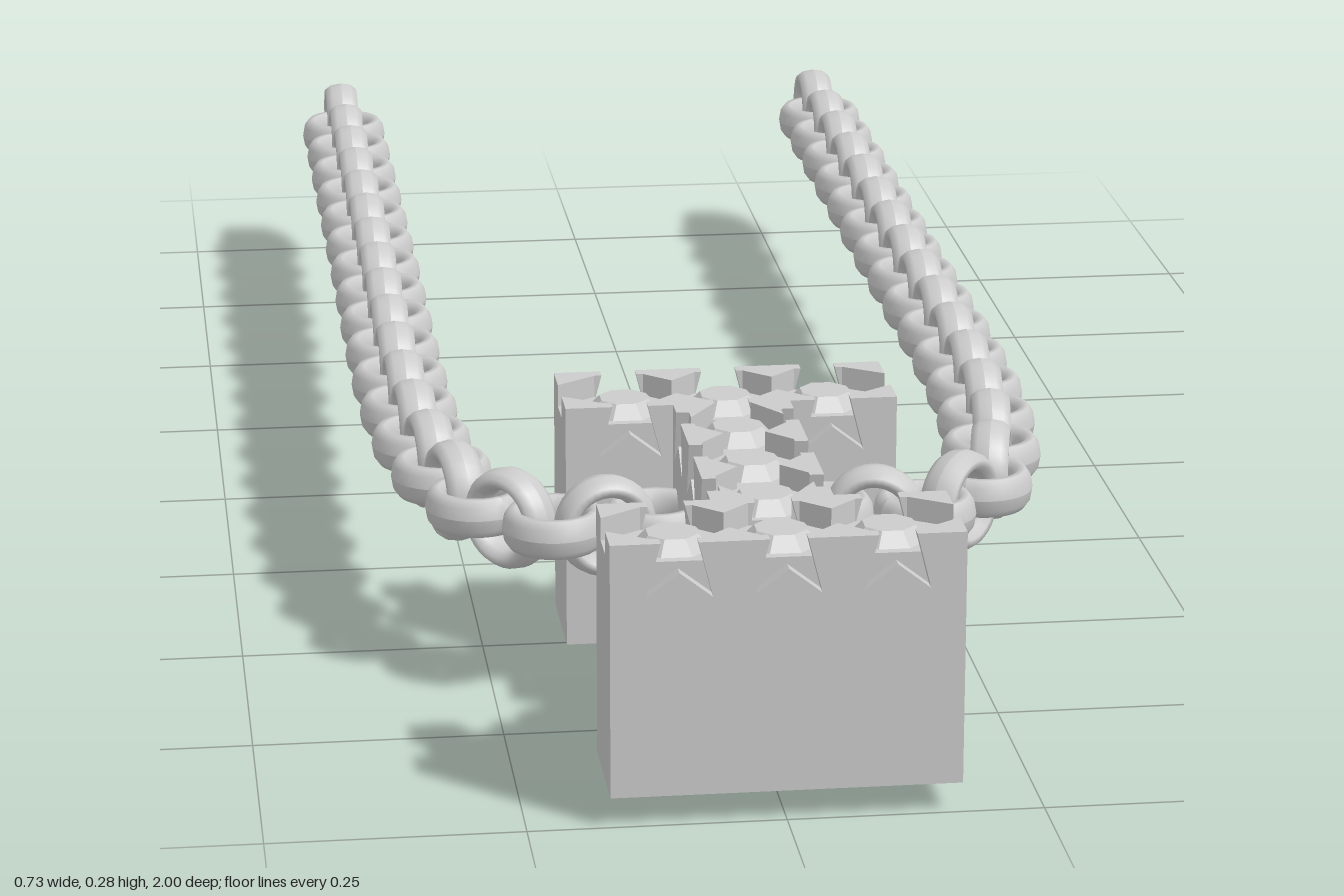
import * as THREE from 'three';

const mat = new THREE.MeshStandardMaterial({ color: 0xcccccc });
const flat = new THREE.MeshStandardMaterial({ color: 0xcccccc, flatShading: true });

const PITCH = 0.104;               // spacing of the studs and notches
const BASE = 0.03, DECK = 0.21, FLOOR = 0.262, TOP = 0.285;
const BAR = 0.17, WEB = 0.06;      // half widths of bars and web
const Z = { back: 0.465, backIn: 0.585, frontIn: 0.88, front: 1.0 };
const SKIN = 0.014;                // thickness of the notched walls

function add(parent, name, geometry, x = 0, y = 0, z = 0, material = flat) {
  const mesh = new THREE.Mesh(geometry, material);
  mesh.name = name;
  mesh.position.set(x, y, z);
  parent.add(mesh);
  return mesh;
}

const shapeOf = (pts) => new THREE.Shape(pts.map(([x, y]) => new THREE.Vector2(x, y)));

// extrude a plan drawn in x and -z upwards
function upright(shape, height) {
  return new THREE.ExtrudeGeometry(shape, { depth: height, bevelEnabled: false }).rotateX(-Math.PI / 2);
}

// plan of the I-shaped body, shrunk by an inset
function bodyPlan(i) {
  const half = [
    [BAR - i, Z.back + i], [BAR - i, Z.backIn - i], [WEB - i, Z.backIn - i],
    [WEB - i, Z.frontIn + i], [BAR - i, Z.frontIn + i], [BAR - i, Z.front - i],
  ];
  const other = half.map(([x, z]) => [-x, z]).reverse();
  return shapeOf([...half, ...other].map(([x, z]) => [x, -z]));
}

// battlement: outer face at local z = 0, facing +z, with three dovetail notches
function battlement(length) {
  const group = new THREE.Group();
  group.name = 'battlement';
  const h = length / 2;
  const pts = [[-h, DECK], [-h, TOP]];
  for (let i = -1; i <= 1; i++) {
    const c = i * PITCH;
    pts.push([c - 0.018, TOP], [c - 0.032, 0.23], [c, 0.255], [c + 0.032, 0.23], [c + 0.018, TOP]);
  }
  pts.push([h, TOP], [h, DECK]);
  const wall = new THREE.ExtrudeGeometry(shapeOf(pts), { depth: SKIN, bevelEnabled: false });
  add(group, 'notchedWall', wall, 0, 0, -SKIN);

  // wedge-shaped backs of the merlons
  for (const s of [-1, 1]) {
    const inner = shapeOf([[-0.028, 0], [0.028, 0], [0, 0.026]]);
    add(group, 'merlon', upright(inner, TOP - FLOOR + 0.01), s * PITCH / 2, FLOOR - 0.01, -SKIN + 0.001);
    const corner = shapeOf([[s * h, 0], [s * (h - 0.042), 0], [s * h, 0.028]]);
    add(group, 'cornerMerlon', upright(corner, TOP - FLOOR + 0.01), 0, FLOOR - 0.01, -SKIN + 0.001);
  }
  return group;
}

function place(parent, length, x, z, turn) {
  const wall = battlement(length);
  wall.position.set(x, 0, z);
  wall.rotation.y = turn;
  parent.add(wall);
}

function createCastle() {
  const castle = new THREE.Group();
  castle.name = 'castleBlock';

  // body with a shallow recess underneath
  const rim = bodyPlan(0);
  rim.holes.push(bodyPlan(0.02));
  add(castle, 'bottomRim', upright(rim, 0.02), 0, BASE, 0);
  add(castle, 'body', upright(bodyPlan(0), DECK - BASE - 0.02), 0, BASE + 0.02, 0);

  // front and back bars
  for (const [z0, z1] of [[Z.back, Z.backIn], [Z.frontIn, Z.front]]) {
    const zc = (z0 + z1) / 2;
    place(castle, 2 * BAR, 0, z1, 0);
    place(castle, 2 * BAR, 0, z0, Math.PI);
    add(castle, 'barDeck', new THREE.BoxGeometry(2 * BAR, FLOOR - DECK, z1 - z0 - 2 * SKIN), 0, (FLOOR + DECK) / 2, zc);
    for (let i = -1; i <= 1; i++) addStud(castle, i * PITCH, zc);
  }

  // connecting web
  const length = Z.frontIn - Z.backIn, zc = (Z.frontIn + Z.backIn) / 2;
  place(castle, length, WEB, zc, Math.PI / 2);
  place(castle, length, -WEB, zc, -Math.PI / 2);
  add(castle, 'webDeck', new THREE.BoxGeometry(2 * (WEB - SKIN), FLOOR - DECK, length), 0, (FLOOR + DECK) / 2, zc);
  for (let i = -1; i <= 1; i++) addStud(castle, 0, zc + i * PITCH);

  // hollow peg below the back bar
  const profile = [[0.036, 0.05], [0.036, 0.006], [0.042, 0], [0.062, 0], [0.068, 0.005], [0.073, 0.032], [0.073, 0.05]]
    .map(([x, y]) => new THREE.Vector2(x, y));
  const pegMat = mat.clone();
  pegMat.side = THREE.DoubleSide;
  add(castle, 'peg', new THREE.LatheGeometry(profile, 40), 0, 0, 0.545, pegMat);
  return castle;
}

// eight-sided stud with sloping sides
function addStud(parent, x, z) {
  const geo = new THREE.CylinderGeometry(0.026, 0.047, 0.022, 8).rotateY(Math.PI / 8);
  add(parent, 'stud', geo, x, 0.265, z);
}

// chain of alternately upright and lying links along a curve
function createChain(side) {
  const chain = new THREE.Group();
  chain.name = side > 0 ? 'leftChain' : 'rightChain';
  const path = new THREE.CatmullRomCurve3([
    [0.31, -0.945], [0.31, -0.3], [0.31, 0.2], [0.302, 0.374], [0.289, 0.475],
    [0.262, 0.575], [0.188, 0.652], [0.085, 0.645],
  ].map(([x, z]) => new THREE.Vector3(side * x, 0.183, z)));
  path.arcLengthDivisions = 1000;
  const ring = new THREE.TorusGeometry(0.0415, 0.011, 10, 32);
  ring.scale(1, 1, 1.9);
  ring.computeVertexNormals();
  const count = 33;
  for (let i = 0; i <= count; i++) {
    const p = path.getPointAt(i / count), t = path.getTangentAt(i / count);
    const link = add(chain, 'link', ring, p.x, p.y, p.z, mat);
    link.rotation.order = 'YXZ';
    link.rotation.y = Math.atan2(-t.z, t.x);
    if (i % 2) link.rotation.x = Math.PI / 2;
  }
  return chain;
}

export function createModel() {
  const model = new THREE.Group();
  model.name = 'castleChain';
  model.add(createCastle(), createChain(1), createChain(-1));
  return model;
}
